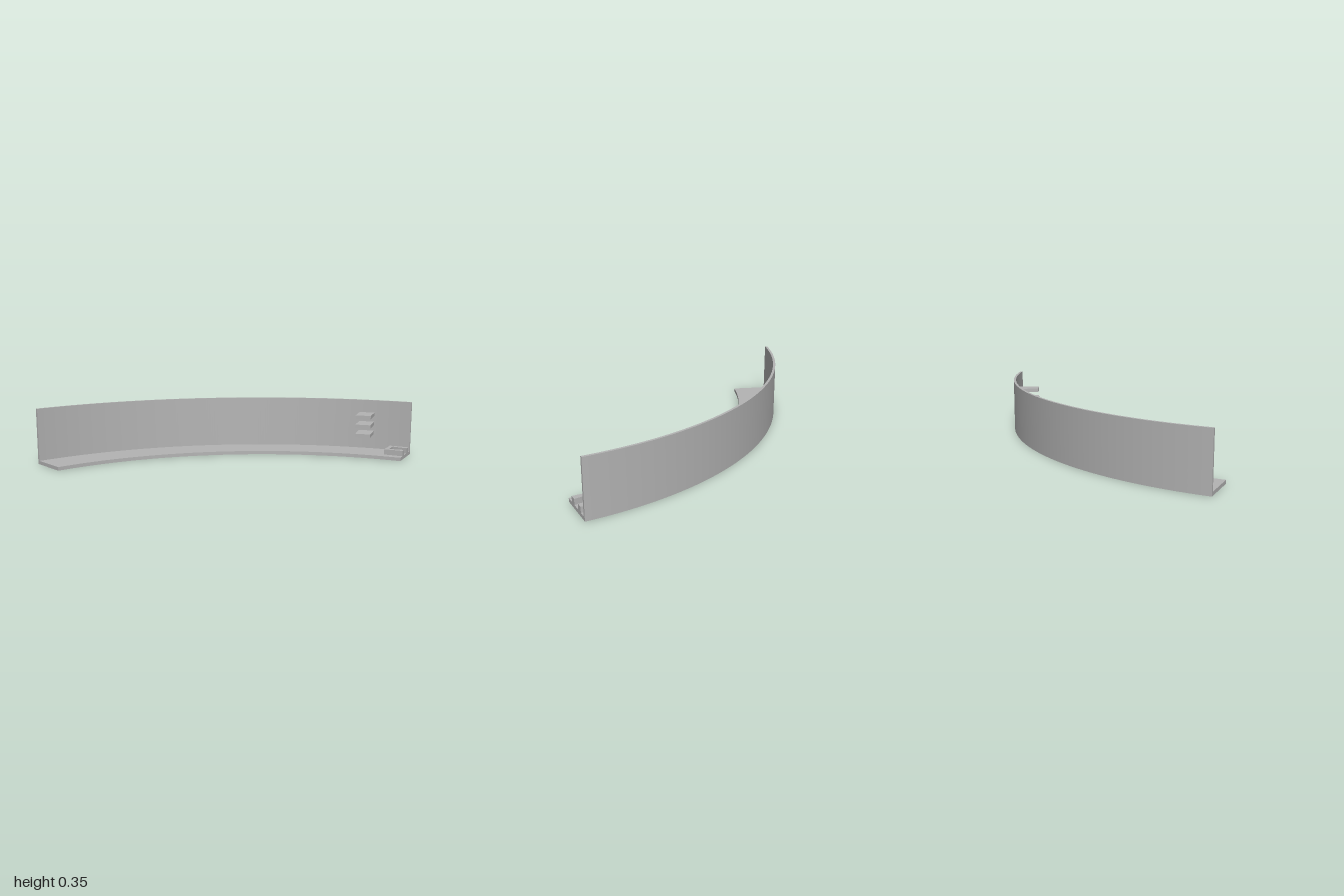
import * as THREE from 'three';
import { toCreasedNormals } from 'three/addons/utils/BufferGeometryUtils.js';

const OUTER = 2.128, INNER = 1.877, WALL = 0.016;
const CENTRE_Z = 1.383;
const FLOOR = 0.022, HEIGHT = 0.353;
const START = Math.PI / 2, END = START + THREE.MathUtils.degToRad(70);

export function createModel() {
  const model = new THREE.Group();
  model.name = 'curvedShelf';
  const grey = new THREE.MeshStandardMaterial({ color: 0xb4b4b4 });
  grey.name = 'plain grey';

  // Extrudes a plan outline (x, -z) upwards from y0 to y1
  function addPlan(name, shape, y0, y1) {
    const geo = new THREE.ExtrudeGeometry(shape, { depth: y1 - y0, bevelEnabled: false, curveSegments: 80 });
    geo.rotateX(-Math.PI / 2);
    const mesh = new THREE.Mesh(toCreasedNormals(geo, 0.5), grey);
    mesh.name = name;
    mesh.position.y = y0;
    model.add(mesh);
    return mesh;
  }

  // Ring sector about the arc's centre
  function sector(inner, outer) {
    const s = new THREE.Shape();
    s.absarc(0, 0, outer, START, END, false);
    s.absarc(0, 0, inner, END, START, true);
    s.closePath();
    return s;
  }

  // Curved floor and the thin wall along its outer edge
  addPlan('floor', sector(INNER, OUTER), 0, FLOOR).position.set(1, 0, CENTRE_Z);
  addPlan('wall', sector(OUTER - WALL, OUTER), FLOOR, HEIGHT).position.set(1, FLOOR, CENTRE_Z);

  // Three small radial fins stacked on the inside of the wall
  const angle = THREE.MathUtils.degToRad(8), r0 = 1.952, r1 = OUTER - WALL / 2;
  for (let i = 0; i < 3; i++) {
    const fin = new THREE.Mesh(new THREE.BoxGeometry(0.1, 0.023, r1 - r0), grey);
    fin.name = 'fin' + (i + 1);
    const r = (r0 + r1) / 2;
    fin.position.set(1 - r * Math.sin(angle), 0.133 + i * 0.062, CENTRE_Z - r * Math.cos(angle));
    fin.rotation.y = angle;
    model.add(fin);
  }

  // Socket block at the straight end, with a dovetail recess open to the side
  const socket = new THREE.Shape([
    [1, 0.547], [1, 0.587], [0.904, 0.572], [0.904, 0.662],
    [1, 0.646], [1, 0.687], [0.878, 0.687], [0.878, 0.547],
  ].map(([x, y]) => new THREE.Vector2(x, y)));
  addPlan('socket', socket, FLOOR, 0.057);

  return model;
}
